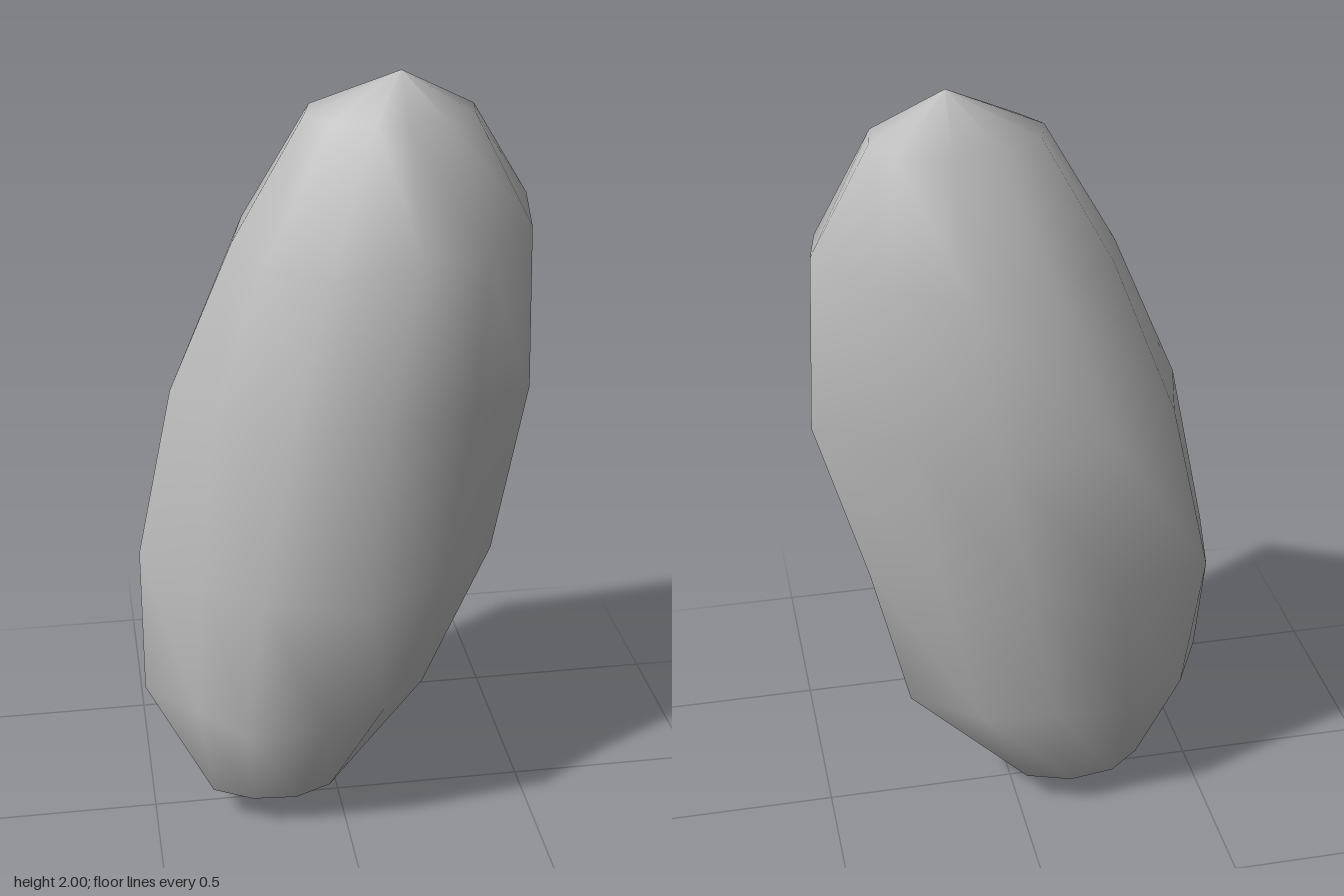
import * as THREE from 'three';

const SIDES = 11, RINGS = 7;
const WIDTH = 0.482, DEPTH_RATIO = 0.82;

// Radius along x of each ring, top to bottom, running from -x round the front
const RADII = [
  [0.215, 0.195, 0.14, 0.13, 0.17, 0.195, 0.21, 0.24, 0.22, 0.215, 0.225],
  [0.345, 0.335, 0.32, 0.405, 0.36, 0.385, 0.415, 0.365, 0.33, 0.345, 0.36],
  [0.44, 0.41, 0.40, 0.38, 0.41, 0.46, 0.506, 0.40, 0.49, 0.51, 0.46],
  [0.46, 0.375, 0.425, 0.49, 0.42, 0.45, 0.45, 0.405, 0.39, 0.41, 0.49],
  [0.395, 0.32, 0.375, 0.345, 0.32, 0.345, 0.42, 0.36, 0.31, 0.335, 0.37],
  [0.195, 0.22, 0.205, 0.20, 0.19, 0.185, 0.19, 0.22, 0.215, 0.21, 0.203],
];

// A coarse sphere, roughened ring by ring and leaned to one side
function stoneGeometry() {
  const stone = new THREE.SphereGeometry(1, SIDES, RINGS);
  const pos = stone.attributes.position;
  for (let ring = 0; ring <= RINGS; ring++) {
    const polar = (ring / RINGS) * Math.PI;
    const height = Math.cos(polar);
    const lean = 0.165 * height - 0.015;
    for (let side = 0; side <= SIDES; side++) {
      const index = ring * (SIDES + 1) + side;
      if (ring === 0 || ring === RINGS) {
        pos.setXYZ(index, lean, 1 + height, 0);
        continue;
      }
      const radius = RADII[ring - 1][side % SIDES];
      const turn = ((side % SIDES) / SIDES) * Math.PI * 2;
      // The shoulder ring rises where it bulges
      const bulge = ring === 2 ? radius / (WIDTH * Math.sin(polar)) : 1;
      pos.setXYZ(
        index,
        lean - radius * Math.cos(turn),
        1 + height * (0.5 + 0.5 * bulge),
        radius * DEPTH_RATIO * Math.sin(turn)
      );
    }
  }
  stone.computeVertexNormals();

  // Smooth the shading across the seam; the tips stay faceted
  const normals = stone.attributes.normal;
  const first = new THREE.Vector3(), last = new THREE.Vector3();
  for (let ring = 1; ring < RINGS; ring++) {
    const start = ring * (SIDES + 1), end = start + SIDES;
    first.fromBufferAttribute(normals, start);
    last.fromBufferAttribute(normals, end);
    first.add(last).normalize();
    normals.setXYZ(start, first.x, first.y, first.z);
    normals.setXYZ(end, first.x, first.y, first.z);
  }
  return stone;
}

export function createModel() {
  const group = new THREE.Group();
  group.name = 'standingStone';
  const stoneGrey = new THREE.MeshStandardMaterial({ color: 0xbcbcbc });
  stoneGrey.name = 'stone grey';
  const stone = new THREE.Mesh(stoneGeometry(), stoneGrey);
  stone.name = 'stone';
  group.add(stone);
  return group;
}
